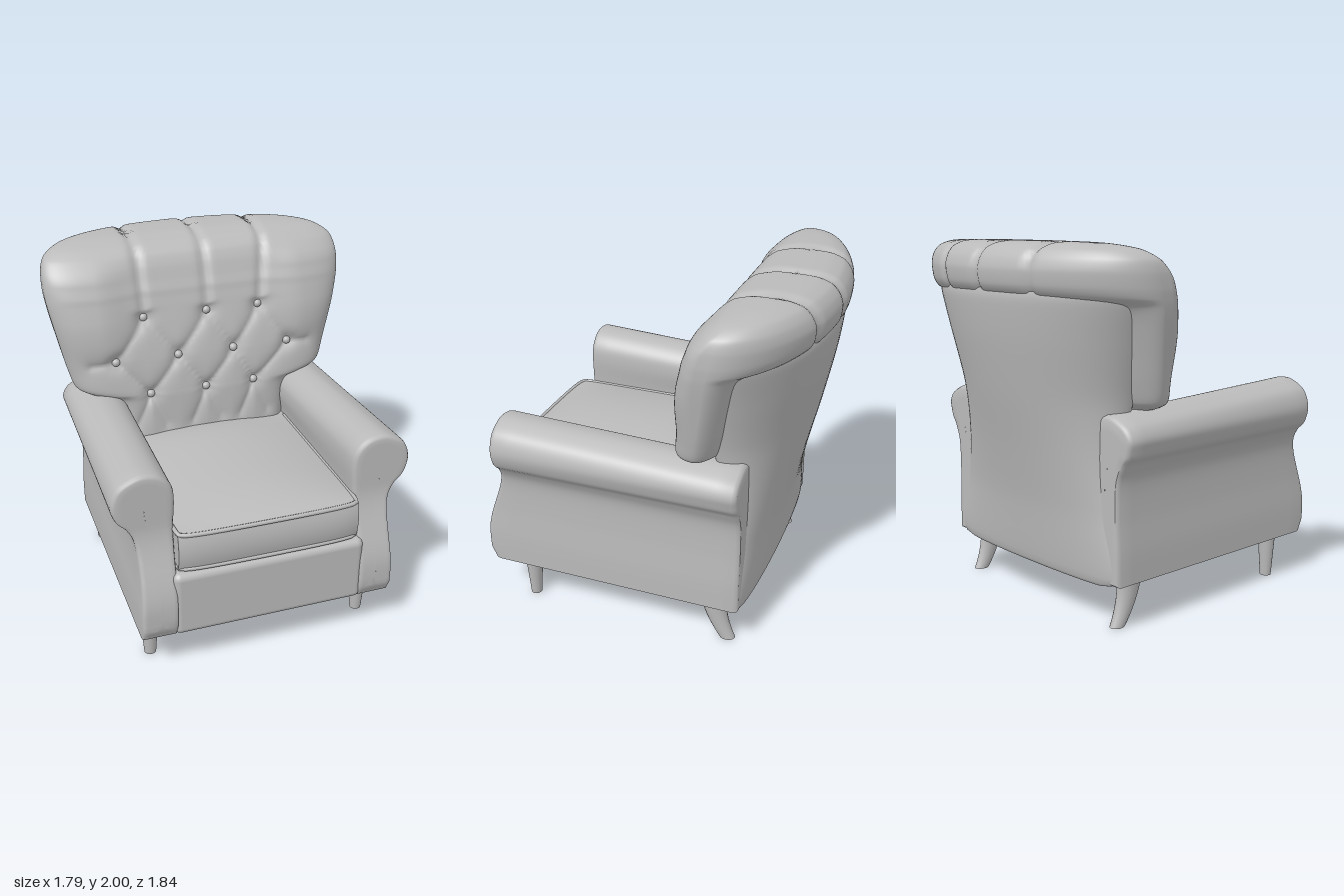
import * as THREE from 'three';
import { toCreasedNormals } from 'three/addons/utils/BufferGeometryUtils.js';
import { RoundedBoxGeometry } from 'three/addons/geometries/RoundedBoxGeometry.js';

const { smoothstep, lerp, clamp } = THREE.MathUtils;

// Button rows of the tufted back
const buttons = [
  [-0.35, 1.58], [0.03, 1.58], [0.35, 1.58],
  [-0.535, 1.345], [-0.16, 1.345], [0.18, 1.345], [0.52, 1.345],
  [-0.34, 1.13], [0, 1.13], [0.3, 1.13],
];
// Diamond creases joining neighbouring buttons, then the short outer ones
const creases = [
  [0, 3], [0, 4], [1, 4], [1, 5], [2, 5], [2, 6],
  [7, 3], [7, 4], [8, 4], [8, 5], [9, 5], [9, 6],
].map(([a, b]) => [...buttons[a], ...buttons[b]]);
creases.push([-0.535, 1.345, -0.68, 1.335], [0.52, 1.345, 0.64, 1.335]);
for (const i of [7, 8, 9]) {
  const [x, y] = buttons[i];
  creases.push([x, y, x - 0.09, 0.93], [x, y, x + 0.09, 0.93]);
}

function segmentDistance(x, y, [ax, ay, bx, by]) {
  const dx = bx - ax, dy = by - ay;
  const t = clamp(((x - ax) * dx + (y - ay) * dy) / (dx * dx + dy * dy), 0, 1);
  return Math.hypot(x - ax - t * dx, y - ay - t * dy);
}

// Skin closed rings of points; rings run clockwise seen against the direction of stacking
function skin(rings) {
  const n = rings[0].length, index = [];
  for (let i = 0; i + 1 < rings.length; i++) {
    for (let j = 0; j < n; j++) {
      const k = (j + 1) % n, u = i * n, v = u + n;
      index.push(u + j, v + j, u + k, u + k, v + j, v + k);
    }
  }
  const g = new THREE.BufferGeometry().setFromPoints(rings.flat());
  g.setIndex(index);
  g.computeVertexNormals();
  return g;
}

// Horizontal sections [y, halfWidth, frontZ, edgeZ, backZ] lofted upward
function loft(table, rows, around, shape) {
  const curveA = new THREE.CatmullRomCurve3(table.map(r => new THREE.Vector3(r[0], r[1], r[2])), false, 'catmullrom', 0.4);
  const curveB = new THREE.CatmullRomCurve3(table.map(r => new THREE.Vector3(r[0], r[3], r[4])), false, 'catmullrom', 0.4);
  const rings = [];
  for (let i = 0; i <= rows; i++) {
    const a = curveA.getPoint(i / rows), b = curveB.getPoint(i / rows), ring = [];
    for (let j = 0; j < around; j++) {
      const t = (j / around) * Math.PI * 2, q = Math.cos(t), front = Math.sin(t) >= 0;
      const z = front
        ? lerp(b.y, a.z, Math.sqrt(Math.max(0, 1 - Math.abs(q) ** 7)))
        : lerp(b.y, b.z, Math.sqrt(Math.max(0, 1 - q * q)));
      const p = new THREE.Vector3(a.y * q, a.x, z);
      if (shape) shape(p, front);
      ring.push(p);
    }
    rings.push(ring);
  }
  return skin(rings);
}

// Press creases, buttons and roll seams into the back cushion
function tuft(p, front) {
  if (front) p.z += 0.045 * smoothstep(Math.abs(p.x), 0.35, 0.62) * smoothstep(p.y, 1.25, 1.6) * (1 - smoothstep(p.y, 1.8, 1.97));
  let depth = 0;
  if (front && p.y < 1.66) {
    const d = Math.min(...creases.map(c => segmentDistance(p.x, p.y, c)));
    const b = Math.min(...buttons.map(c => Math.hypot(p.x - c[0], p.y - c[1])));
    depth = (0.024 * Math.exp(-d / 0.035) + 0.025 * Math.exp(-((b / 0.05) ** 2))) * (1 - smoothstep(p.y, 1.6, 1.66));
  }
  if (p.y > 1.56 && (front || p.y > 1.72)) {
    const lean = (p.y - 1.58) / 0.42;
    for (const [x, drift] of [[-0.35, -0.01], [0.03, 0.01], [0.35, 0.06]]) {
      const seam = 0.02 * Math.exp(-(((p.x - x - drift * lean) / 0.026) ** 2));
      depth = Math.max(depth, seam * smoothstep(p.y, 1.56, 1.6));
    }
  }
  p.addScaledVector(new THREE.Vector3(0, Math.min(p.y, 1.78) - p.y, -0.64 - p.z).normalize(), depth);
}

// Scroll arm: the outline runs along z, and both ends close onto a spine line
function armGeometry(side) {
  const outline = new THREE.SplineCurve([[0.715, 0.25], [0.715, 0.42], [0.706, 0.62], [0.712, 0.8], [0.75, 0.89],
    [0.805, 0.95], [0.828, 1.04], [0.795, 1.135], [0.72, 1.185], [0.65, 1.2], [0.57, 1.18], [0.512, 1.12], [0.495, 1.03],
    [0.505, 0.85], [0.515, 0.55], [0.52, 0.25]].map(([x, y]) => new THREE.Vector2(x, y))).getPoints(90);
  for (let i = 1; i < 8; i++) outline.push(new THREE.Vector2(lerp(0.52, 0.715, i / 8), 0.25));
  if (side > 0) outline.reverse();
  // Each ring is [z, inset]: 0 on the outline, 1 on the spine
  const rings = [[-0.6, 1], [-0.6, 0.5], [-0.6, 0.15], [-0.593, 0.06], [-0.575, 0]];
  for (let i = 1; i <= 16; i++) rings.push([lerp(-0.575, 0.77, i / 16), 0]);
  rings.push([0.785, 0.02], [0.796, 0.07], [0.8, 0.14], [0.8, 0.3], [0.8, 0.5], [0.8, 0.75], [0.8, 1]);
  return toCreasedNormals(skin(rings.map(([z, inset]) => outline.map(o => {
    const y = lerp(o.y, clamp(o.y, 0.33, 1.04), inset);
    const x = lerp(o.x, lerp(0.615, 0.66, smoothstep(o.y, 0.75, 1)), inset);
    const back = (0.8 - z) / 1.4;
    const swell = 0.12 * (1 - smoothstep(y, 0.42, 0.9)) - 0.03 * (1 - smoothstep(y, 0.25, 0.33));
    return new THREE.Vector3(side * (x - 0.025 * back * smoothstep(o.y, 0.85, 1)),
      y - 0.06 * back * smoothstep(o.y, 0.95, 1.2), z + swell * smoothstep(z, 0.4, 0.77));
  }))), 0.7);
}

// Tapered leg; sweep moves the foot backward
function legGeometry(topX, topZ, footX, footZ, sweep) {
  const g = new THREE.CylinderGeometry(1, 1, 0.29, 16, 10).translate(0, 0.145, 0);
  const p = g.attributes.position;
  for (let i = 0; i < p.count; i++) {
    const t = 1 - p.getY(i) / 0.29;
    p.setX(i, p.getX(i) * lerp(topX, footX, t));
    p.setZ(i, p.getZ(i) * lerp(topZ, footZ, t) - sweep * t * t);
  }
  return toCreasedNormals(g, 0.7);
}

export function createModel() {
  const group = new THREE.Group();
  const grey = new THREE.MeshStandardMaterial({ color: 0xbababa });
  grey.name = 'light grey';
  const add = (name, geometry, x = 0, y = 0, z = 0) => {
    const m = new THREE.Mesh(geometry, grey);
    m.name = name;
    m.position.set(x, y, z);
    group.add(m);
  };

  // Tufted back with rolled top and wings
  const back = loft([
    [0.60, 0.52, -0.17, -0.35, -0.5], [0.9, 0.53, -0.17, -0.35, -0.5], [1.1, 0.56, -0.18, -0.35, -0.5],
    [1.15, 0.70, -0.185, -0.34, -0.5], [1.19, 0.765, -0.19, -0.35, -0.54], [1.3, 0.80, -0.205, -0.37, -0.58],
    [1.45, 0.835, -0.235, -0.4, -0.62], [1.62, 0.872, -0.28, -0.43, -0.68], [1.69, 0.885, -0.30, -0.44, -0.74],
    [1.73, 0.89, -0.31, -0.45, -0.87], [1.78, 0.893, -0.33, -0.46, -0.915], [1.86, 0.888, -0.36, -0.48, -0.925],
    [1.92, 0.865, -0.395, -0.5, -0.905], [1.965, 0.79, -0.45, -0.54, -0.865], [1.99, 0.64, -0.53, -0.6, -0.8],
    [1.998, 0.4, -0.59, -0.64, -0.73], [2.0, 0, -0.66, -0.66, -0.66],
  ], 160, 240, tuft);
  add('backCushion', back);

  // Buttons sit on the nearest front point of the cushion
  const bp = back.attributes.position;
  buttons.forEach(([x, y]) => {
    let best = 1, z = 0;
    for (let i = 0; i < bp.count; i++) {
      const d = Math.hypot(bp.getX(i) - x, bp.getY(i) - y);
      if (bp.getZ(i) > -0.35 && d < best) { best = d; z = bp.getZ(i); }
    }
    add('button', new THREE.SphereGeometry(0.024, 14, 10), x, y, z + 0.008);
  });

  // Outer back panel, closed underneath
  add('backPanel', toCreasedNormals(loft([
    [0.25, 0, -0.59, -0.59, -0.59],
    [0.25, 0.66, -0.55, -0.59, -0.635], [0.6, 0.635, -0.5, -0.56, -0.68], [0.9, 0.62, -0.42, -0.52, -0.74],
    [1.2, 0.66, -0.4, -0.45, -0.81], [1.5, 0.74, -0.4, -0.46, -0.87], [1.7, 0.8, -0.4, -0.48, -0.895],
    [1.77, 0.8, -0.42, -0.5, -0.885],
  ], 42, 80), 0.8));

  // Base with front apron
  add('base', new RoundedBoxGeometry(1.08, 0.385, 1.5, 8, 0.04), 0, 0.4425, 0.16);

  // Seat cushion with crowned top and soft front
  const seat = new THREE.BoxGeometry(1.01, 0.215, 1.15, 24, 8, 24);
  const sp = seat.attributes.position;
  for (let i = 0; i < sp.count; i++) {
    const x = sp.getX(i), y = sp.getY(i), z = sp.getZ(i);
    const u = x / 0.505, v = z / 0.575, h = y / 0.1075;
    const crown = Math.max(0, h) * 0.075 * (1 - u * u) * (1 - v ** 4);
    const bow = Math.max(0, v) ** 7 * (0.018 * (1 - h * h) - 0.02 * u ** 6);
    sp.setXYZ(i, x, y + crown, z + bow);
  }
  add('seatCushion', toCreasedNormals(seat, 0.7), 0, 0.7525, 0.31);

  // Piping along the cushion edges
  for (const y of [0.65, 0.858]) {
    const path = new THREE.CatmullRomCurve3([[-0.503, -0.2], [-0.503, 0.3], [-0.503, 0.82], [-0.495, 0.86], [-0.45, 0.875], [0, 0.888],
      [0.45, 0.875], [0.495, 0.86], [0.503, 0.82], [0.503, 0.3], [0.503, -0.2]].map(([x, z]) => new THREE.Vector3(x, y, z)));
    add('seatPiping', new THREE.TubeGeometry(path, 100, 0.012, 8));
  }

  // Arms and legs
  for (const [side, label] of [[1, 'left'], [-1, 'right']]) {
    add(label + 'Arm', armGeometry(side));
    add(label + 'FrontLeg', legGeometry(0.056, 0.052, 0.033, 0.032, 0), side * 0.627, 0, 0.685);
    add(label + 'BackLeg', legGeometry(0.055, 0.08, 0.036, 0.045, 0.085), side * 0.62, 0, -0.433);
  }
  return group;
}
